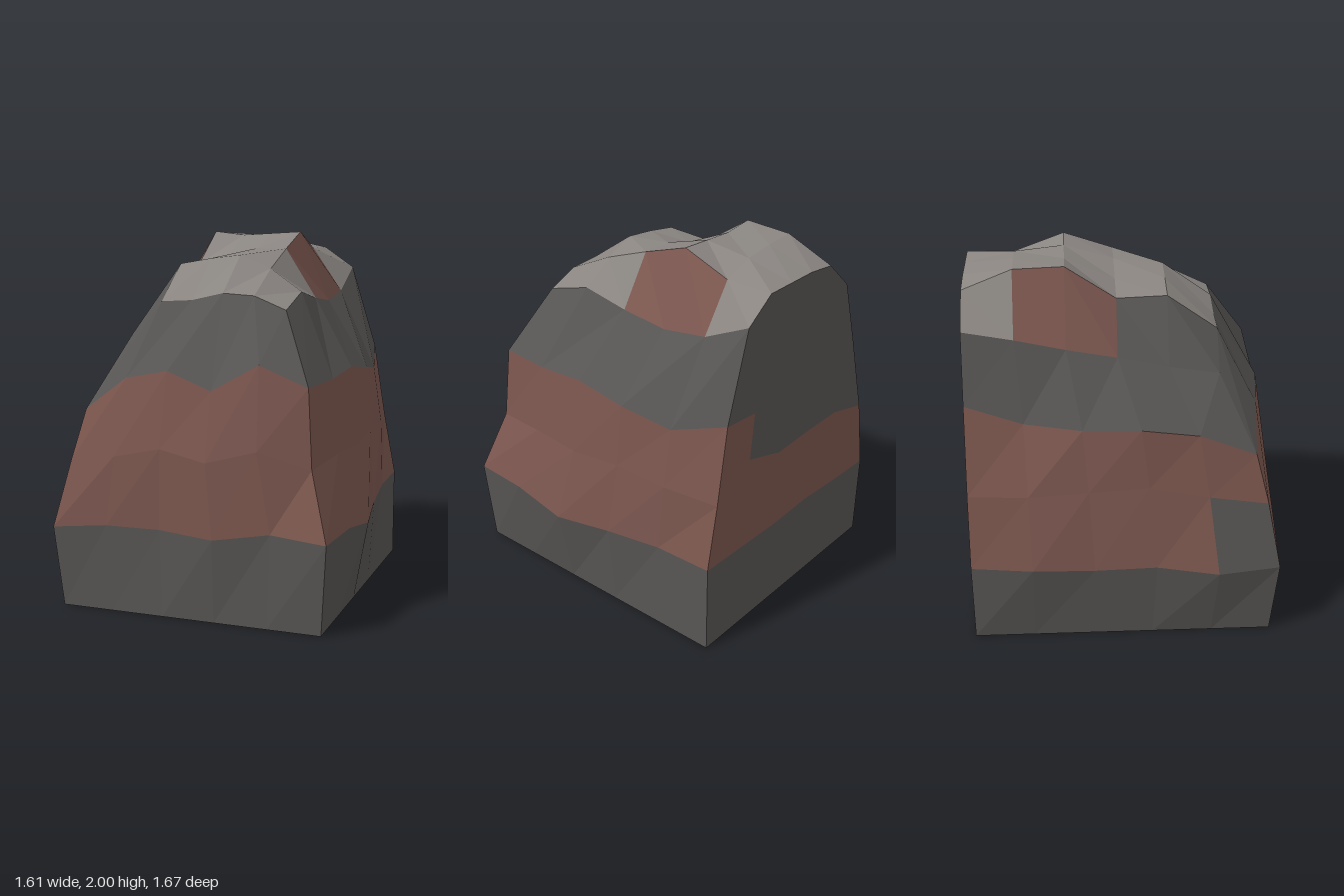
import * as THREE from 'three';

const material = (name, color) =>
  new THREE.MeshStandardMaterial({ name, color, flatShading: true, side: THREE.DoubleSide });

// Heights of the summit grid: rows run front to back, columns -x to +x
const SUMMIT = [
  [1.46, 1.64, 1.65, 1.69, 1.68, 1.61],
  [1.50, 1.83, 1.86, 1.88, 1.81, 1.69],
  [1.56, 1.82, 1.86, 1.91, 1.91, 1.64],
  [1.61, 2.00, 1.98, 1.99, 2.00, 1.61],
  [1.67, 1.99, 1.98, 1.96, 1.90, 1.65],
  [1.72, 1.88, 1.90, 1.90, 1.90, 1.78],
];

// Each wall has four rings, bottom to top, listed left to right as seen from outside.
// span: ends along the wall, out: distance from the centre, y: heights
const FLAT = [0, 0, 0, 0, 0, 0];
const BACK = [-0.84, -0.84, -0.84, -0.84, -0.84, -0.84];
const WALLS = {
  front: [
    { span: [-0.73, 0.72], out: [0.8, 0.8, 0.8, 0.8, 0.8, 0.8], y: FLAT },
    { span: [-0.77, 0.75], out: [0.83, 0.81, 0.80, 0.83, 0.80, 0.83], y: [0.44, 0.47, 0.47, 0.45, 0.50, 0.48] },
    { span: [-0.69, 0.64], out: [0.76, 0.79, 0.80, 0.83, 0.80, 0.72], y: [0.80, 0.84, 0.90, 0.85, 0.92, 0.83] },
    { span: [-0.63, 0.61], out: [0.69, 0.71, 0.74, 0.76, 0.73, 0.69], y: [1.07, 1.25, 1.30, 1.21, 1.35, 1.24] },
  ],
  right: [
    { span: [0.8, -0.84], out: [0.72, 0.72, 0.72, 0.72, 0.72, 0.72], y: FLAT },
    { span: [0.83, -0.84], out: [0.75, 0.78, 0.80, 0.75, 0.72, 0.72], y: [0.48, 0.49, 0.44, 0.47, 0.50, 0.51] },
    { span: [0.72, -0.84], out: [0.64, 0.69, 0.72, 0.71, 0.70, 0.65], y: [0.83, 0.86, 0.86, 0.89, 0.88, 0.87] },
    { span: [0.69, -0.84], out: [0.61, 0.65, 0.67, 0.68, 0.65, 0.58], y: [1.24, 1.25, 1.28, 1.24, 1.20, 1.30] },
  ],
  back: [
    { span: [0.72, -0.73], out: BACK, y: FLAT },
    { span: [0.72, -0.75], out: BACK, y: [0.51, 0.50, 0.49, 0.50, 0.48, 0.47] },
    { span: [0.65, -0.68], out: BACK, y: [0.87, 1.02, 0.94, 0.95, 0.95, 0.88] },
    { span: [0.58, -0.55], out: BACK, y: [1.30, 1.28, 1.30, 1.26, 1.30, 1.35] },
  ],
  left: [
    { span: [-0.84, 0.8], out: [-0.73, -0.73, -0.73, -0.73, -0.73, -0.73], y: FLAT },
    { span: [-0.84, 0.83], out: [-0.75, -0.79, -0.77, -0.77, -0.81, -0.77], y: [0.47, 0.47, 0.45, 0.46, 0.43, 0.44] },
    { span: [-0.84, 0.76], out: [-0.68, -0.70, -0.70, -0.70, -0.71, -0.69], y: [0.88, 0.88, 0.90, 0.92, 0.86, 0.80] },
    { span: [-0.84, 0.69], out: [-0.55, -0.57, -0.64, -0.67, -0.65, -0.63], y: [1.35, 1.25, 1.24, 1.25, 1.20, 1.07] },
  ],
};

export function createModel() {
  const group = new THREE.Group();
  group.name = 'rockOutcrop';
  const stone = material('darkStone', 0x585654);
  const earth = material('redEarth', 0x7c574f);
  const pale = material('paleStone', 0x8a8581);

  // Gather quads by part name, then turn each part into one faceted mesh
  const parts = new Map();
  const addGrid = (grid, pick) => {
    for (let r = 0; r < grid.length - 1; r++) {
      for (let i = 0; i < 5; i++) {
        const [name, mat] = pick(r, i);
        if (!parts.has(name)) parts.set(name, { mat, points: [] });
        const a = grid[r][i], b = grid[r][i + 1], c = grid[r + 1][i + 1], d = grid[r + 1][i];
        parts.get(name).points.push(a, b, c, a, c, d);
      }
    }
  };

  // Summit: a regular grid of raised points
  const top = SUMMIT.map((row, r) =>
    row.map((y, i) => new THREE.Vector3(-0.44 + i * 0.174, y, 0.5 - r * 0.268)));
  addGrid(top, (r, i) => {
    if ((i === 0 || i === 4) && (r === 2 || r === 3)) return ['summitEarthPatches', earth];
    if (i === 0 && r < 2) return ['summitDarkShoulder', stone];
    return ['summit', pale];
  });

  // Walls: each joins the matching border of the summit
  const rims = {
    front: top[0],
    right: top.map((row) => row[5]),
    back: [...top[5]].reverse(),
    left: top.map((row) => row[0]).reverse(),
  };
  for (const [side, rings] of Object.entries(WALLS)) {
    const facesZ = side === 'front' || side === 'back';
    const grid = rings.map(({ span, out, y }) => out.map((o, i) => {
      const along = THREE.MathUtils.lerp(span[0], span[1], i / 5);
      return facesZ ? new THREE.Vector3(along, y[i], o) : new THREE.Vector3(o, y[i], along);
    }));
    grid.push(rims[side]);
    addGrid(grid, (r, i) => {
      if (r === 0) return [side + 'Base', stone];
      if (r === 3) return [side + 'UpperSlope', stone];
      if (side === 'left' && r === 1 && i === 4) return ['leftStonePatch', stone];
      if (side === 'back' && r === 2 && i > 0) return ['backUpperSlope', stone];
      return [side + 'EarthBand', earth];
    });
  }

  for (const [name, { mat, points }] of parts) {
    const geometry = new THREE.BufferGeometry().setFromPoints(points);
    geometry.computeVertexNormals();
    const mesh = new THREE.Mesh(geometry, mat);
    mesh.name = name;
    group.add(mesh);
  }
  return group;
}
